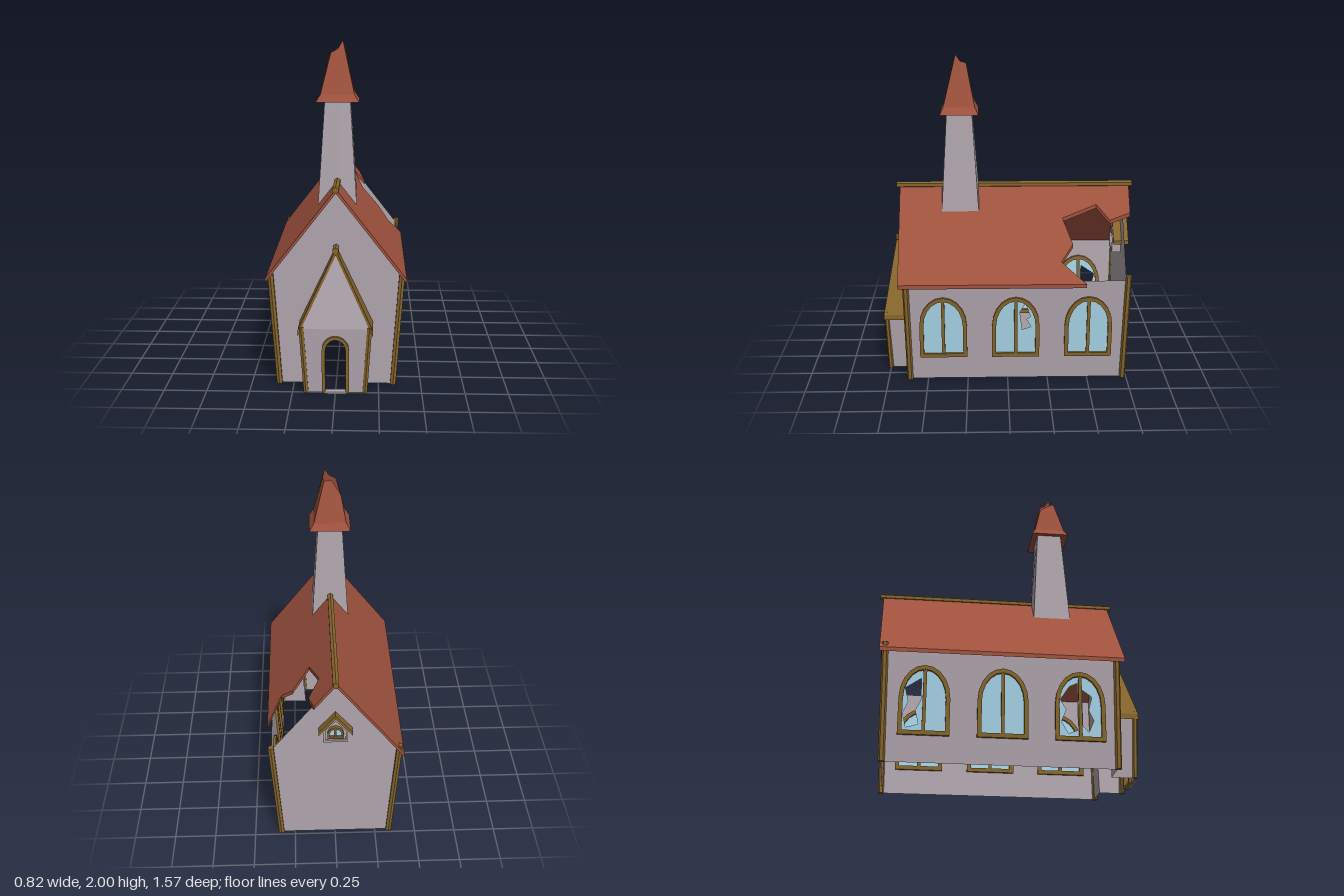
import * as THREE from 'three';

const mat = (color) => new THREE.MeshStandardMaterial({ color, side: THREE.DoubleSide, flatShading: true });

// Shape from [x, y] points, with optional holes
function poly(pts, holes = []) {
  const s = new THREE.Shape(pts.map(([x, y]) => new THREE.Vector2(x, y)));
  for (const h of holes) s.holes.push(new THREE.Path(h.map(([x, y]) => new THREE.Vector2(x, y))));
  return s;
}

// Round-headed outline: straight jambs, then an elliptical arch
function arch(cx, half, y0, spring, top, n = 10) {
  const pts = [[cx - half, y0], [cx + half, y0]];
  for (let i = 0; i <= n; i++) {
    const a = (Math.PI * i) / n;
    pts.push([cx + half * Math.cos(a), spring + (top - spring) * Math.sin(a)]);
  }
  return pts;
}

const flat = (shape) => new THREE.ShapeGeometry(shape);
const slab = (shape, depth) => new THREE.ExtrudeGeometry(shape, { depth, bevelEnabled: false });

// Move every vertex by a rule
function warp(geo, fn) {
  const p = geo.attributes.position;
  for (let i = 0; i < p.count; i++) p.setXYZ(i, ...fn(p.getX(i), p.getY(i), p.getZ(i)));
  geo.computeVertexNormals();
  return geo;
}

// Skin between closed rings of points
function loft(rings) {
  const n = rings[0].length, idx = [];
  for (let r = 0; r < rings.length - 1; r++) {
    for (let i = 0; i < n; i++) {
      const a = r * n + i, b = r * n + ((i + 1) % n);
      idx.push(b, a, a + n, b, a + n, b + n);
    }
  }
  const g = new THREE.BufferGeometry();
  g.setAttribute('position', new THREE.Float32BufferAttribute(rings.flat(2), 3));
  g.setIndex(idx);
  g.computeVertexNormals();
  return g;
}

// Six-sided timber between two points
function beam(a, b, r) {
  const A = new THREE.Vector3(...a), B = new THREE.Vector3(...b);
  const d = B.clone().sub(A);
  const g = new THREE.CylinderGeometry(r, r, d.length(), 6);
  g.applyQuaternion(new THREE.Quaternion().setFromUnitVectors(new THREE.Vector3(0, 1, 0), d.normalize()));
  const m = A.add(B).multiplyScalar(0.5);
  return g.translate(m.x, m.y, m.z);
}

// Sloping roof panel from a plan outline of [x, z] points
function roofPanel(plan, apex, slope, thick) {
  return warp(slab(poly(plan), thick), (x, z, d) => [x, apex - slope * Math.abs(x) - d, z]);
}

export function createModel() {
  const root = new THREE.Group();
  const wall = mat(0xb0a6ad), tile = mat(0xa0523e), wood = mat(0x87662c), glass = mat(0xa8d6ea);
  const add = (name, geo, material, parent = root) => {
    const m = new THREE.Mesh(geo, material);
    m.name = name;
    parent.add(m);
    return m;
  };

  // Side walls lean outwards; u runs along the wall, d is the distance outwards
  const lean = (geo, s) => warp(geo, (u, v, d) => [s * (0.33 + 0.075 * v + d), v, -s * u]);
  const windowZ = [0.4, -0.05, -0.5];
  // Broken pane outlines as [z, y], by side and window
  const broken = {
    '1,1': [[[-0.11, 0.52], [-0.075, 0.46], [-0.09, 0.34], [-0.145, 0.36], [-0.115, 0.41], [-0.14, 0.43]]],
    '-1,0': [
      [[0.385, 0.5], [0.385, 0.22], [0.33, 0.2], [0.29, 0.27], [0.32, 0.34], [0.285, 0.4], [0.34, 0.48]],
      [[0.415, 0.46], [0.415, 0.25], [0.45, 0.21], [0.48, 0.28], [0.45, 0.34], [0.47, 0.42]],
    ],
    '-1,2': [[[-0.52, 0.49], [-0.52, 0.36], [-0.55, 0.3], [-0.53, 0.22], [-0.6, 0.2], [-0.62, 0.28], [-0.59, 0.35], [-0.61, 0.43]]],
  };
  for (const s of [1, -1]) {
    const openings = windowZ.map((z) => arch(-s * z, 0.135, 0.17, 0.37, 0.55));
    add('sideWall', lean(flat(poly([[s * -0.61, 0], [s * 0.725, 0], [s * 0.725, 0.67], [s * -0.61, 0.67]], openings)), s), wall);
    windowZ.forEach((z, i) => {
      const win = new THREE.Group();
      win.name = 'sideWindow';
      root.add(win);
      const u = -s * z;
      const frame = slab(poly(arch(u, 0.147, 0.155, 0.37, 0.565), [arch(u, 0.122, 0.18, 0.37, 0.54)]), 0.03);
      add('windowFrame', lean(frame.translate(0, 0, -0.015), s), wood, win);
      add('mullion', lean(new THREE.BoxGeometry(0.02, 0.37, 0.025).translate(u, 0.36, 0), s), wood, win);
      const cracks = (broken[s + ',' + i] || []).map((h) => h.map(([hz, hy]) => [-s * hz, hy]));
      add('windowGlass', lean(flat(poly(arch(u, 0.13, 0.17, 0.37, 0.55), cracks)), s), glass, win);
    });

    // Corner posts
    add('frontCornerPost', beam([s * 0.335, 0, 0.615], [s * 0.382, 0.67, 0.625], 0.019), wood);
    add('backCornerPost', beam([s * 0.335, 0, -0.725], [s * 0.382, 0.7, -0.738], 0.019), wood);

    // Porch sides, posts and roof
    add('porchSideWall', loft([
      [[s * 0.17, 0, 0.75], [s * 0.17, 0, 0.61]],
      [[s * 0.2, 0.39, 0.77], [s * 0.2, 0.39, 0.61]],
    ]), wall);
    add('porchPost', beam([s * 0.17, 0, 0.75], [s * 0.196, 0.4, 0.765], 0.016), wood);
    add('porchRoof', roofPanel([[0, 0.7], [s * 0.215, 0.78], [s * 0.215, 0.61], [0, 0.61]], 0.84, 2.12, 0.035), wood);

    // Small roof over the gable window
    add('gableWindowRoof', roofPanel([[0, -0.675], [s * 0.1, -0.675], [s * 0.1, -0.77], [0, -0.77]], 0.95, 1.2, 0.025), wood);
  }

  // Front wall, open into the porch; back wall, open into the gable window
  const gable = [[-0.33, 0], [0.33, 0], [0.38, 0.67], [0, 1.16], [-0.38, 0.67]];
  const porchOpening = [[0.168, 0], [0.197, 0.39], [0, 0.78], [-0.197, 0.39], [-0.168, 0]];
  const frontOutline = [gable[0], ...porchOpening.slice().reverse(), ...gable.slice(1)];
  add('frontWall', flat(poly(frontOutline)).translate(0, 0, 0.61), wall);
  const niche = (w, y0, eave, top) => [[-w, y0], [w, y0], [w, eave], [0, top], [-w, eave]];
  const inner = niche(0.06, 0.76, 0.832, 0.9);
  add('backWall', flat(poly(gable, [inner])).translate(0, 0, -0.725), wall);

  // Gable window box, face, frame and glass
  add('gableWindowBox', slab(poly(niche(0.072, 0.745, 0.84, 0.925), [inner]), 0.085).translate(0, 0, -0.755), wall);
  add('gableWindowFace', flat(poly(inner, [arch(0, 0.042, 0.785, 0.805, 0.855)])).translate(0, 0, -0.745), wall);
  add('gableWindowFrame', slab(poly(arch(0, 0.048, 0.78, 0.805, 0.862), [arch(0, 0.036, 0.792, 0.805, 0.848)]), 0.02)
    .translate(0, 0, -0.765), wood);
  add('gableWindowMullion', new THREE.BoxGeometry(0.01, 0.07, 0.015).translate(0, 0.82, -0.755), wood);
  add('gableWindowGlass', flat(poly(arch(0, 0.042, 0.785, 0.805, 0.855))).translate(0, 0, -0.75), glass);

  // Porch front: lower wall with doorway, and a gable leaning back
  const porchZ = (y) => (y <= 0.39 ? 0.75 + 0.05 * y : 0.77 - (y - 0.39) * 0.18);
  const onPorch = (geo) => warp(geo, (x, y, d) => [x, y, porchZ(y) + d]);
  const doorway = arch(0, 0.065, 0, 0.26, 0.335).reverse();
  const porchFront = [[-0.17, 0], ...doorway.slice(0, -2), [-0.065, 0], [0.065, 0]].slice(0, 1)
    .concat([[-0.065, 0]], arch(0, 0.065, 0, 0.26, 0.335).slice(2).reverse(), [[0.065, 0], [0.17, 0], [0.2, 0.39], [-0.2, 0.39]]);
  add('porchFrontWall', onPorch(flat(poly(porchFront))), wall);
  add('porchGable', onPorch(flat(poly([[-0.2, 0.39], [0.2, 0.39], [0, 0.815]]))), wall);
  add('doorFrame', onPorch(slab(poly(arch(0, 0.078, 0, 0.265, 0.348), [arch(0, 0.058, 0.008, 0.262, 0.328)]), 0.03)
    .translate(0, 0, -0.015)), wood);
  add('doorStep', new THREE.BoxGeometry(0.13, 0.012, 0.04).translate(0, 0.006, 0.755), wall);
  add('porchRidge', beam([0, 0.832, 0.705], [0, 0.832, 0.61], 0.02), wood);

  // Main roof: one whole side, one side with a jagged hole at the back
  add('wholeRoofSide', roofPanel([[0, 0.67], [-0.408, 0.67], [-0.408, -0.77], [0, -0.77]], 1.185, 1.29, 0.025), tile);
  add('brokenRoofSide', roofPanel([
    [0, 0.67], [0.408, 0.67], [0.408, -0.48], [0.32, -0.33], [0.25, -0.405], [0.145, -0.345],
    [0.09, -0.56], [0.155, -0.64], [0.125, -0.77], [0, -0.77],
  ], 1.185, 1.29, 0.025), tile);
  add('ridgeBeam', beam([0, 1.18, 0.69], [0, 1.18, -0.79], 0.02), wood);

  // Tapering tower, its foot cut to the roof slope
  const around = [[1, 1], [0, 1], [-1, 1], [-1, 0], [-1, -1], [0, -1], [1, -1], [1, 0]];
  const ring = (hx, hz, y) => around.map(([x, z]) => [x * hx, typeof y === 'function' ? y(x * hx) : y, 0.29 + z * hz]);
  add('tower', loft([ring(0.115, 0.115, (x) => 1.18 - 1.25 * Math.abs(x)), ring(0.075, 0.077, 1.66)]), wall);

  // Flared spire with a broken, open tip
  const tip = [
    [0.03, 2.0, 0.31], [0, 1.95, 0.325], [-0.04, 1.93, 0.33], [-0.055, 1.9, 0.285],
    [-0.068, 1.86, 0.235], [-0.01, 1.95, 0.25], [0.035, 1.95, 0.245], [0.042, 1.96, 0.28],
  ];
  add('spire', loft([ring(0.075, 0.077, 1.66), ring(0.128, 0.118, 1.645), ring(0.1, 0.096, 1.69), tip]), tile);

  return root;
}
